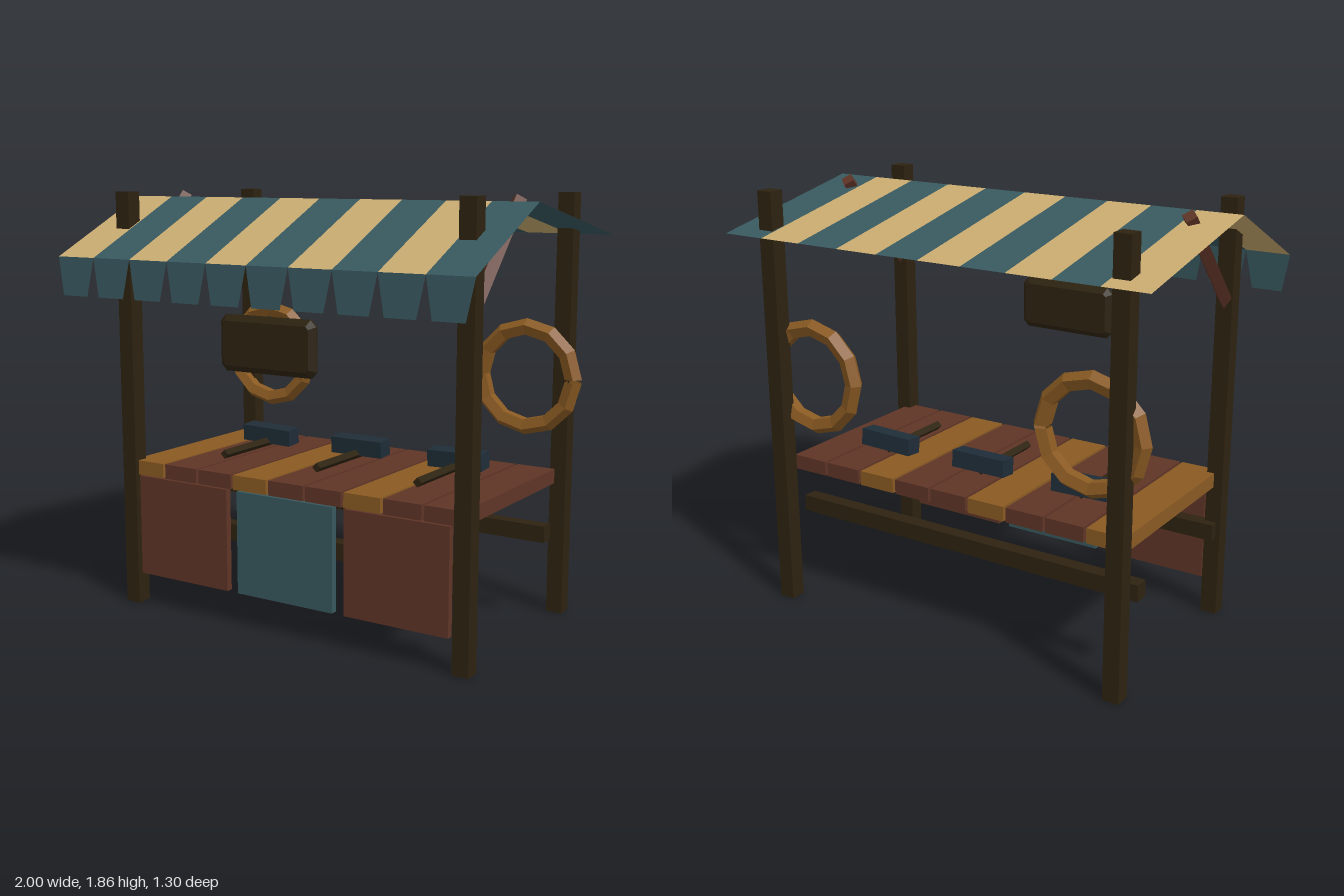
import * as THREE from 'three';

const mat = (name, color, side = THREE.FrontSide) => {
  const m = new THREE.MeshStandardMaterial({ color, side, flatShading: true });
  m.name = name;
  return m;
};

export function createModel() {
  const group = new THREE.Group();
  const darkWood = mat('dark wood', 0x2e2311);
  const redWood = mat('red wood', 0x5f3526);
  const ochre = mat('ochre wood and rope', 0x8a5a22, THREE.DoubleSide);
  const teal = mat('teal cloth', 0x38595f, THREE.DoubleSide);
  const cream = mat('cream cloth', 0xc8ab70, THREE.DoubleSide);
  const iron = mat('iron', 0x1f2d38);

  const add = (name, geo, material, x = 0, y = 0, z = 0) => {
    const m = new THREE.Mesh(geo, material);
    m.name = name;
    m.position.set(x, y, z);
    group.add(m);
    return m;
  };
  const box = (name, w, h, d, material, x, y, z) =>
    add(name, new THREE.BoxGeometry(w, h, d), material, x, y, z);

  // Cloth strip: rows of [left x, right x, y, z] joined by quads
  const strip = (name, rows, material) => {
    const pos = rows.flatMap(([l, r, y, z]) => [l, y, z, r, y, z]);
    const idx = [];
    for (let i = 0; i < rows.length - 1; i++) {
      const a = i * 2;
      idx.push(a, a + 2, a + 3, a, a + 3, a + 1);
    }
    const g = new THREE.BufferGeometry();
    g.setAttribute('position', new THREE.Float32BufferAttribute(pos, 3));
    g.setIndex(idx);
    const flat = g.toNonIndexed();
    flat.computeVertexNormals();
    add(name, flat, material);
  };

  // Posts and diagonal braces
  for (const s of [-1, 1]) {
    box('frontPost', 0.073, 1.863, 0.071, darkWood, s * 0.843, 0.9315, 0.37);
    box('backPost', 0.073, 1.863, 0.071, darkWood, s * 0.843, 0.9315, -0.54);
    const from = new THREE.Vector3(s * 0.843, 1.41, 0.37);
    const to = new THREE.Vector3(s * 0.843, 1.842, -0.035);
    const dir = to.clone().sub(from);
    const brace = add('brace', new THREE.CylinderGeometry(0.033, 0.033, dir.length(), 4), redWood);
    brace.position.copy(from).add(to).multiplyScalar(0.5);
    brace.quaternion.setFromUnitVectors(new THREE.Vector3(0, 1, 0), dir.normalize());
  }

  // Lower rails
  for (const z of [0.328, -0.368]) box('rail', 1.72, 0.073, 0.065, darkWood, 0, 0.402, z);

  // Counter planks, every third one lighter
  for (let i = 0; i < 9; i++) {
    box('counterPlank', 0.175, 0.065, 0.86, i % 3 === 0 ? ochre : redWood, (i - 4) * 0.188, 0.633, -0.045);
  }

  // Front panels
  for (let i = -1; i <= 1; i++) {
    box('frontPanel', 0.487, 0.455, 0.03, i === 0 ? teal : redWood, i * 0.543, 0.373, 0.386);
  }

  // Striped canopy and its hanging flaps
  for (let i = 0; i < 10; i++) {
    const l = -1 + i * 0.2, r = l + 0.2;
    strip('canopyStripe', [
      [l, r, 1.682, -0.652], [l, r, 1.838, 0.12], [l, r, 1.59, 0.642],
    ], i % 2 ? teal : cream);
    strip('canopyFlap', [
      [l, r, 1.59, 0.642], [l + 0.032, r - 0.032, 1.425, 0.652],
    ], teal);
  }

  // Hanging sign board with chamfered edges
  const w = 0.21, h = 0.092, c = 0.012;
  const outline = new THREE.Shape([
    [-w + c, -h], [w - c, -h], [w, -h + c], [w, h - c],
    [w - c, h], [-w + c, h], [-w, h - c], [-w, -h + c],
  ].map(([x, y]) => new THREE.Vector2(x, y)));
  const board = new THREE.ExtrudeGeometry(outline, {
    depth: 0.01, bevelEnabled: true, bevelSize: 0.025, bevelThickness: 0.022, bevelSegments: 1,
  });
  add('signBoard', board, darkWood, -0.002, 1.258, 0.487);

  // Rope rings on the back posts, open by a small gap
  for (const s of [-1, 1]) {
    const ring = add('ropeRing', new THREE.TorusGeometry(0.22, 0.039, 5, 12, Math.PI * 2 - 0.05),
      ochre, s * 0.688, 1.06, -0.49);
    ring.rotation.z = 0.025;
  }

  // Hammers lying on the counter
  for (let i = -1; i <= 1; i++) {
    const handle = add('hammerHandle', new THREE.CylinderGeometry(0.021, 0.021, 0.38, 4), darkWood,
      i * 0.5, 0.687, -0.04);
    handle.rotation.x = Math.PI / 2;
    const head = box('hammerHead', 0.263, 0.075, 0.08, iron, i * 0.5, 0.721, -0.213);
    head.rotation.set(0.08, 0, i * 0.025);
  }

  return group;
}
